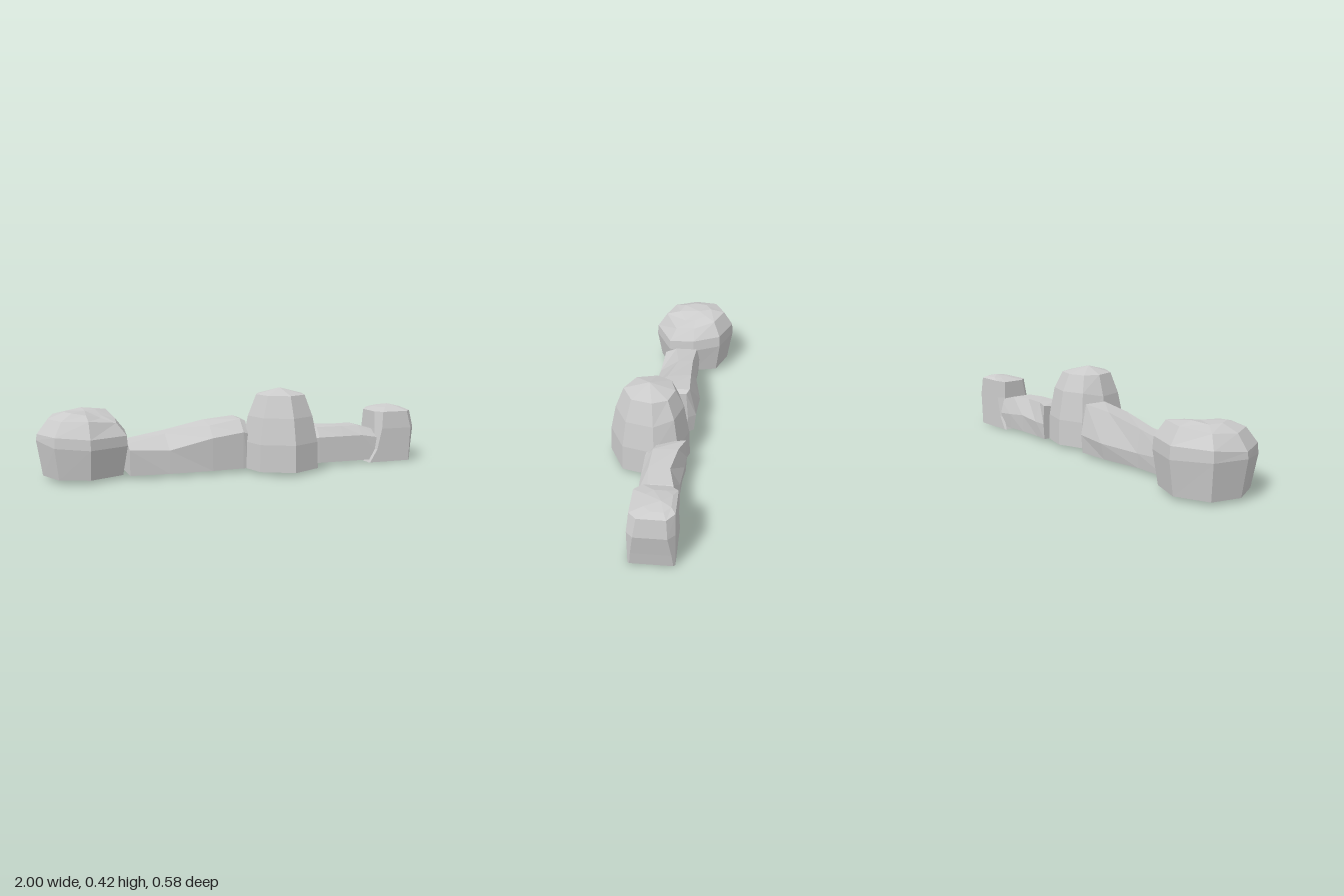
import * as THREE from 'three';

const material = new THREE.MeshStandardMaterial({ color: 0xcccccc, flatShading: true });

// Skin rings of [x, y, z] points; rings turn anticlockwise about the direction of travel.
function loft(name, rings, endPoint) {
  const pos = [];
  const tri = (a, b, c) => pos.push(...a, ...b, ...c);
  const centre = (r) => [0, 1, 2].map((k) => r.reduce((s, p) => s + p[k], 0) / r.length);
  const n = rings[0].length;
  const first = rings[0], last = rings[rings.length - 1];
  const c0 = centre(first), c1 = endPoint || centre(last);
  for (let j = 0; j < n; j++) {
    const k = (j + 1) % n;
    for (let i = 0; i < rings.length - 1; i++) {
      const a = rings[i], b = rings[i + 1];
      tri(a[j], a[k], b[k]);
      tri(a[j], b[k], b[j]);
    }
    tri(c0, first[k], first[j]);
    tri(c1, last[j], last[k]);
  }
  const g = new THREE.BufferGeometry();
  g.setAttribute('position', new THREE.Float32BufferAttribute(pos, 3));
  g.computeVertexNormals();
  const mesh = new THREE.Mesh(g, material);
  mesh.name = name;
  return mesh;
}

// Upright rock: a plan outline scaled about a centre at each level [y, scale, height offsets].
function boulder(name, [cx, cz], outline, levels, apex) {
  const rings = levels.map(([y, s, dy]) =>
    outline.map(([x, z], j) => [cx + (x - cx) * s, y + (dy ? dy[j] : 0), cz + (z - cz) * s]));
  return loft(name, rings, apex);
}

// Lying slab: sections along x, each a list of [z, y]
// (top back, top front, front shoulder, base front, base back, back bulge).
function slab(name, sections) {
  return loft(name, sections.map(([x, pts]) => pts.map(([z, y]) => [x, y, z])));
}

export function createModel() {
  const group = new THREE.Group();
  group.name = 'rockWall';

  // Round boulder at the right-hand end, dipping toward the slab
  group.add(boulder('roundBoulder', [-0.77, -0.07],
    [[-0.565, -0.07], [-0.6, -0.22], [-0.77, -0.29], [-0.95, -0.22],
      [-1, -0.06], [-0.93, 0.1], [-0.77, 0.16], [-0.58, 0.07]],
    [
      [0.015, 0.88, [0, 0, 0, 0, 0, 0, 0, 0]],
      [0.16, 1, [0, 0.02, 0.02, 0.03, 0.03, 0.01, 0, 0]],
      [0.22, 0.98, [0.0, 0.02, 0.02, 0.02, 0, 0, -0.01, -0.01]],
      [0.3, 0.75, [-0.02, 0.015, 0.015, 0, -0.01, -0.01, -0.01, -0.03]],
      [0.32, 0.4, [-0.02, 0, 0.01, 0, 0, 0, -0.01, -0.03]],
    ],
    [-0.76, 0.32, -0.09]));

  // Tall domed boulder standing forward of the row
  group.add(boulder('tallBoulder', [0.205, 0.09],
    [[0.405, 0.05], [0.355, -0.065], [0.21, -0.11], [0.07, -0.065],
      [0.01, 0.05], [0.05, 0.21], [0.21, 0.29], [0.365, 0.21]],
    [
      [0.015, 1],
      [0.15, 0.975],
      [0.28, 0.84, [0, 0.02, 0.02, 0.02, 0, 0, 0, 0]],
      [0.388, 0.63],
    ],
    [0.2, 0.422, 0.09]));

  // Long slab between the boulders, rising toward the tall one
  group.add(slab('longSlab', [
    [-0.575, [[-0.09, 0.17], [0.03, 0.165], [0.09, 0.14], [0.09, 0.015], [-0.1, 0.015], [-0.105, 0.1]]],
    [-0.38, [[-0.08, 0.205], [0.0, 0.2], [0.1, 0.13], [0.105, 0.015], [-0.09, 0.015], [-0.1, 0.09]]],
    [-0.16, [[-0.085, 0.25], [0.04, 0.235], [0.105, 0.18], [0.105, 0.015], [-0.115, 0.015], [-0.135, 0.1]]],
    [0.005, [[-0.09, 0.265], [0.035, 0.262], [0.095, 0.2], [0.095, 0.015], [-0.115, 0.015], [-0.125, 0.11]]],
    [0.035, [[-0.075, 0.255], [0.03, 0.25], [0.085, 0.19], [0.09, 0.015], [-0.08, 0.015], [-0.085, 0.11]]],
  ]));

  // Short slab between the tall boulder and the end rock
  group.add(slab('shortSlab', [
    [0.35, [[-0.1, 0.2], [0.03, 0.18], [0.085, 0.14], [0.09, 0.015], [-0.1, 0.015], [-0.105, 0.1]]],
    [0.43, [[-0.07, 0.205], [0.05, 0.2], [0.09, 0.15], [0.09, 0.015], [-0.09, 0.015], [-0.1, 0.1]]],
    [0.57, [[-0.045, 0.2], [0.055, 0.2], [0.09, 0.15], [0.09, 0.015], [-0.085, 0.015], [-0.09, 0.11]]],
    [0.68, [[-0.07, 0.198], [0.045, 0.196], [0.09, 0.15], [0.09, 0.015], [-0.09, 0.015], [-0.1, 0.1]]],
    [0.8, [[-0.08, 0.165], [0.03, 0.165], [0.085, 0.13], [0.09, 0.015], [-0.09, 0.015], [-0.1, 0.09]]],
  ]));

  // Upright end rock: square foot, rounded bevelled crown
  const endRing = (y, x0, x1, z0, z1, c, rise = 0) => [
    [x1, y, z0 + c], [x1 - c, y + rise, z0], [x0 + c, y + rise, z0], [x0, y, z0 + c],
    [x0, y, z1 - c], [x0 + c, y, z1], [x1 - c, y, z1], [x1, y, z1 - c]];
  group.add(loft('endRock', [
    endRing(0, 0.72, 0.97, -0.105, 0.1, 0.008),
    endRing(0.07, 0.755, 0.98, -0.105, 0.1, 0.015),
    endRing(0.18, 0.765, 1, -0.105, 0.1, 0.03),
    endRing(0.27, 0.77, 0.985, -0.104, 0.09, 0.035, 0.008),
    endRing(0.287, 0.82, 0.955, -0.085, 0.03, 0.03, 0.003),
  ], [0.9, 0.3, -0.04]));

  return group;
}
